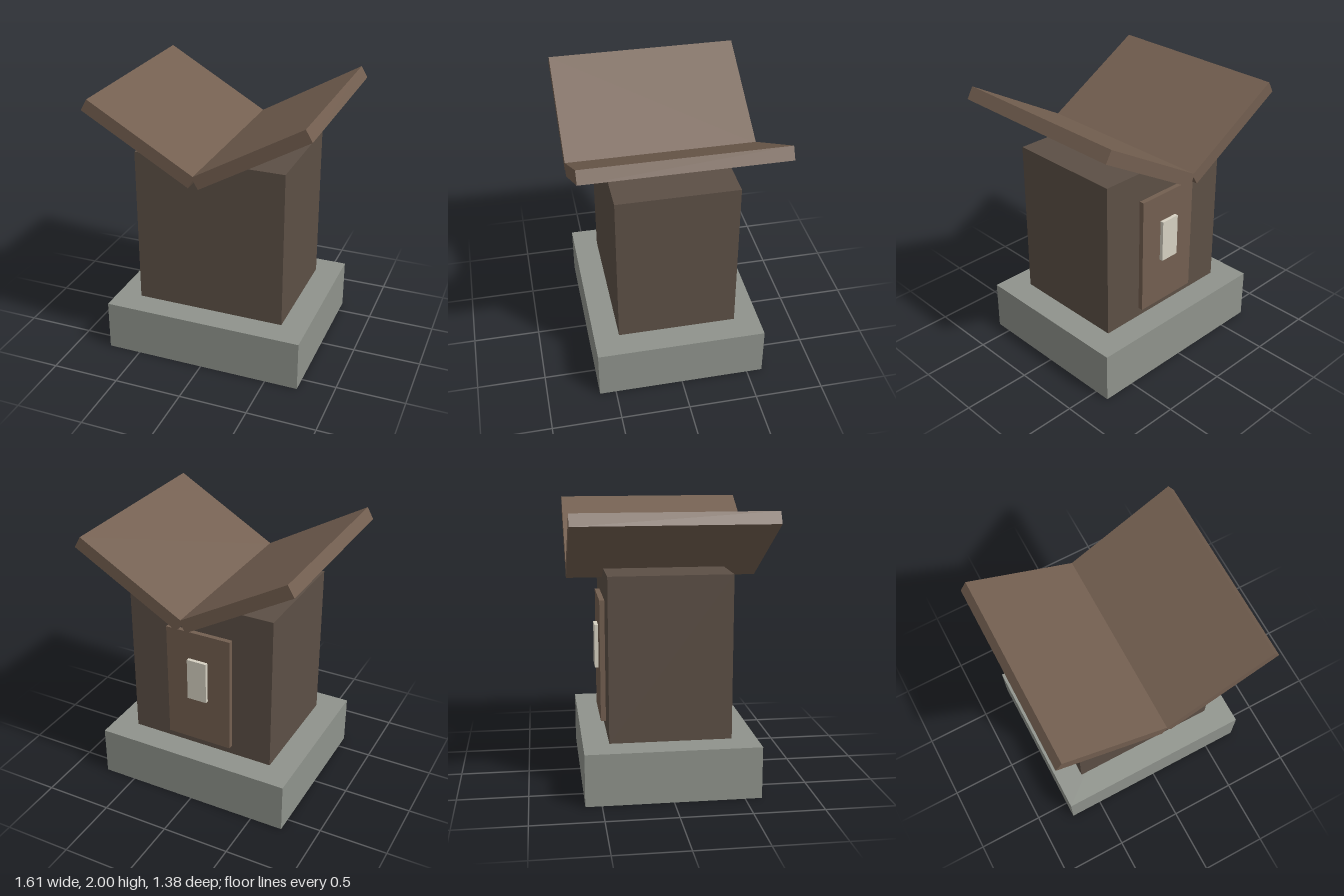
import * as THREE from 'three';

const paint = (color) => new THREE.MeshStandardMaterial({ color, flatShading: true });

export function createModel() {
  const model = new THREE.Group();
  const stone = paint(0x8f938c);
  const wall = paint(0x5c4f45);
  const wood = paint(0x735f50);
  const pane = paint(0xd6d1c2);

  const addBox = (name, size, position, material) => {
    const mesh = new THREE.Mesh(new THREE.BoxGeometry(...size), material);
    mesh.name = name;
    mesh.position.set(...position);
    model.add(mesh);
    return mesh;
  };

  // Stone plinth, with the cabin body a hair above it
  addBox('plinth', [1.488, 0.374, 1.235], [0, 0.187, 0.002], stone);
  addBox('body', [1.114, 1.175, 0.868], [0, 0.97, 0.002], wall);

  // Door and its small window on the back wall
  addBox('door', [0.5, 0.89, 0.036], [0, 0.896, -0.45], wood);
  addBox('doorWindow', [0.15, 0.32, 0.027], [0, 0.969, -0.481], pane);

  // Butterfly roof: two slabs sloping 30 degrees down to a central valley
  for (const side of [-1, 1]) {
    const slab = addBox(side > 0 ? 'leftRoof' : 'rightRoof',
      [0.891, 0.094, 1.385], [side * 0.398, 1.737, 0.002], wood);
    slab.rotation.z = side * Math.PI / 6;
  }

  return model;
}
